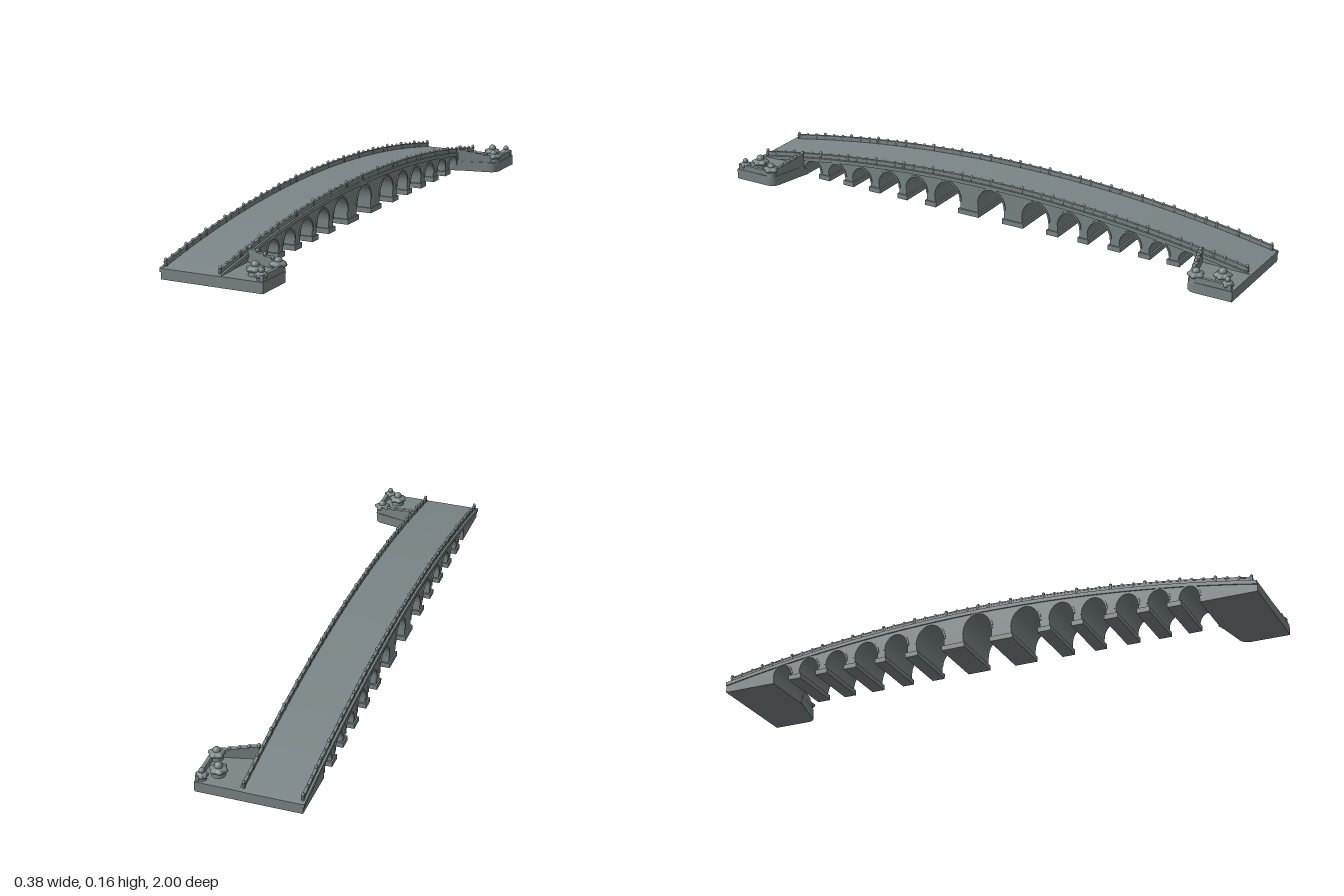
import * as THREE from 'three';
import { mergeGeometries } from 'three/addons/utils/BufferGeometryUtils.js';

const stone = new THREE.MeshStandardMaterial({ color: 0x7b8587 });
stone.name = 'grey stone';

const LEFT = 0.025, RIGHT = -0.185;
const deckY = (z) => 0.036 + 0.094 * (1 - z * z);

// arch centre, half width, crown height (mirrored in z)
const ARCHES = [
  [0, 0.054, 0.115], [0.18, 0.053, 0.107], [0.312, 0.044, 0.097], [0.43, 0.044, 0.09],
  [0.55, 0.04, 0.08], [0.66, 0.037, 0.073], [0.768, 0.035, 0.064],
];
const allArches = [...ARCHES.slice(1).map(([c, w, h]) => [-c, w, h]).reverse(), ...ARCHES];

function add(parent, name, geometry) {
  const mesh = new THREE.Mesh(geometry, stone);
  mesh.name = name;
  parent.add(mesh);
  return mesh;
}

// extrude a (z, y) outline across x, from x0 up to x1
function acrossX(points, x0, x1) {
  const shape = new THREE.Shape(points.map(([z, y]) => new THREE.Vector2(z, y)));
  const g = new THREE.ExtrudeGeometry(shape, { depth: x1 - x0, bevelEnabled: false });
  return g.rotateY(-Math.PI / 2).translate(x1, 0, 0);
}

// strip that follows the deck curve between two offsets
function deckBand(x0, x1, low, high, end = 1) {
  const pts = [], n = 64;
  for (let i = 0; i <= n; i++) {
    const z = end * (-1 + 2 * i / n);
    pts.push([z, deckY(z) + low]);
  }
  for (let i = n; i >= 0; i--) {
    const z = end * (-1 + 2 * i / n);
    pts.push([z, deckY(z) + high]);
  }
  return acrossX(pts, x0, x1);
}

// arched opening outline: straight jambs with a round crown
function archPoints([c, w, h], n = 16) {
  const spring = h - Math.min(w * 1.2, h * 0.75);
  const pts = [[c - w, 0]];
  for (let i = 0; i <= n; i++) {
    const a = Math.PI * (1 - i / n);
    pts.push([c + w * Math.cos(a), spring + (h - spring) * Math.sin(a)]);
  }
  pts.push([c + w, 0]);
  return pts;
}

function bridgeBody() {
  const pts = [[-1, 0]];
  allArches.forEach((a) => pts.push(...archPoints(a)));
  pts.push([1, 0]);
  for (let i = 0; i <= 64; i++) {
    const z = 1 - 2 * i / 64;
    pts.push([z, deckY(z)]);
  }
  return acrossX(pts, RIGHT, LEFT);
}

// thin raised ring round each opening
function archRings(x0, x1) {
  return mergeGeometries(allArches.map(([c, w, h]) => {
    const inner = archPoints([c, w, h]).slice(1, -1);
    const outer = inner.map(([z, y]) => [c + (z - c) * (1 + 0.006 / w), y + 0.006 * (y / h)]);
    return acrossX([...inner, ...outer.reverse()], x0, x1);
  }));
}

// stepped feet under the piers
function footings() {
  const parts = [];
  for (let i = 0; i < allArches.length - 1; i++) {
    const a = allArches[i][0] + allArches[i][1], b = allArches[i + 1][0] - allArches[i + 1][1];
    const w = b - a, m = (a + b) / 2;
    parts.push(new THREE.BoxGeometry(LEFT - RIGHT + 0.01, 0.018, w + 0.012)
      .translate((LEFT + RIGHT) / 2, 0.009, m));
  }
  return mergeGeometries(parts);
}

// carved post with a waist and a rounded finial
function post(x, y, z, s = 1) {
  const profile = [[0, 0], [0.0055, 0], [0.0055, 0.016], [0.0035, 0.018], [0.006, 0.022], [0.005, 0.026], [0, 0.03]];
  const g = new THREE.LatheGeometry(profile.map(([r, h]) => new THREE.Vector2(r, h)), 8);
  return g.scale(s, s, s).translate(x, y, z);
}

function parapet(x) {
  const g = new THREE.Group();
  add(g, 'parapetPanels', deckBand(x - 0.0035, x + 0.0035, -0.002, 0.014, 0.985));
  add(g, 'parapetHandrail', deckBand(x - 0.005, x + 0.005, 0.012, 0.016, 0.985));
  const posts = [];
  for (let i = 0; i <= 48; i++) {
    const z = -0.98 + 1.96 * i / 48;
    posts.push(post(x, deckY(z) - 0.002, z, i % 3 === 0 ? 1 : 0.86));
  }
  add(g, 'parapetPosts', mergeGeometries(posts));
  return g;
}

// rounded boulder-like ornament with lobes round its rim
function lobedBall(r, h, lobes) {
  const g = new THREE.SphereGeometry(1, 30, 12);
  const p = g.attributes.position;
  for (let i = 0; i < p.count; i++) {
    const x = p.getX(i), y = p.getY(i), z = p.getZ(i);
    const k = 1 + 0.13 * Math.cos(lobes * Math.atan2(z, x));
    p.setXYZ(i, x * k * r, y * h, z * k * r);
  }
  g.computeVertexNormals();
  return g;
}

// side terrace at the +z end
function terrace() {
  const g = new THREE.Group();
  g.name = 'terrace';
  const s = new THREE.Shape();
  s.moveTo(0.015, -1);
  s.lineTo(0.18, -1);
  s.lineTo(0.18, -0.865);
  s.quadraticCurveTo(0.178, -0.835, 0.15, -0.83);
  s.lineTo(0.05, -0.81);
  s.lineTo(0.015, -0.80);
  // the outline is drawn with y = -z, then laid flat
  const slab = new THREE.ExtrudeGeometry(s, { depth: 0.037, bevelEnabled: false, curveSegments: 8 });
  add(g, 'terraceSlab', slab.rotateX(-Math.PI / 2));

  // wall stepping down along the inner edge
  const a = new THREE.Vector2(0.03, 0.814), b = new THREE.Vector2(0.155, 0.845);
  const walls = [], steps = 4, len = a.distanceTo(b) / steps;
  const angle = -Math.atan2(b.y - a.y, b.x - a.x);
  for (let i = 0; i < steps; i++) {
    const c = a.clone().lerp(b, (i + 0.5) / steps), top = 0.082 - i * 0.006;
    walls.push(new THREE.BoxGeometry(len + 0.002, top - 0.03, 0.016).rotateY(angle)
      .translate(c.x, (top + 0.03) / 2, c.y));
    const e = a.clone().lerp(b, i / steps);
    walls.push(post(e.x, top - 0.022, e.y, 1.15));
  }
  add(g, 'terraceWall', mergeGeometries(walls));

  // low kerb on the outer side
  add(g, 'terraceKerb', new THREE.BoxGeometry(0.012, 0.022, 0.13)).position.set(0.172, 0.046, 0.93);

  // carved ornaments on pedestals: x, z, radius, pedestal top, ornament top
  [[0.158, 0.86, 0.027, 0.058, 0.082], [0.12, 0.938, 0.029, 0.058, 0.085], [0.162, 0.975, 0.02, 0.052, 0.078]]
    .forEach(([x, z, r, mid, top], i) => {
      const base = add(g, 'pedestal', new THREE.CylinderGeometry(r * 0.7, r * 0.85, mid - 0.03, 16));
      base.position.set(x, (mid + 0.03) / 2, z);
      add(g, 'carvedCap', lobedBall(r, 0.012, 5 + i)).position.set(x, mid, z);
      add(g, 'capKnob', new THREE.SphereGeometry(r * 0.5, 14, 10)).position.set(x, top - r * 0.5, z);
    });
  return g;
}

export function createModel() {
  const model = new THREE.Group();
  model.name = 'archBridge';

  add(model, 'bridgeBody', bridgeBody());
  add(model, 'pierFootings', footings());
  for (const [side, x, out] of [['left', LEFT, 1], ['right', RIGHT, -1]]) {
    const lo = Math.min(x - out * 0.004, x + out * 0.005), hi = Math.max(x - out * 0.004, x + out * 0.005);
    add(model, side + 'Cornice', deckBand(lo, hi, -0.012, 0.001));
    add(model, side + 'ArchRings', archRings(Math.min(x, x + out * 0.003), Math.max(x, x + out * 0.003)));
    const rail = parapet(x - out * 0.006);
    rail.name = side + 'Parapet';
    model.add(rail);
  }

  // terraces at both ends; the far one has its winding flipped after mirroring
  const near = terrace();
  const far = terrace();
  far.name = 'farTerrace';
  far.scale.z = -1;
  model.add(near, far);
  return model;
}
